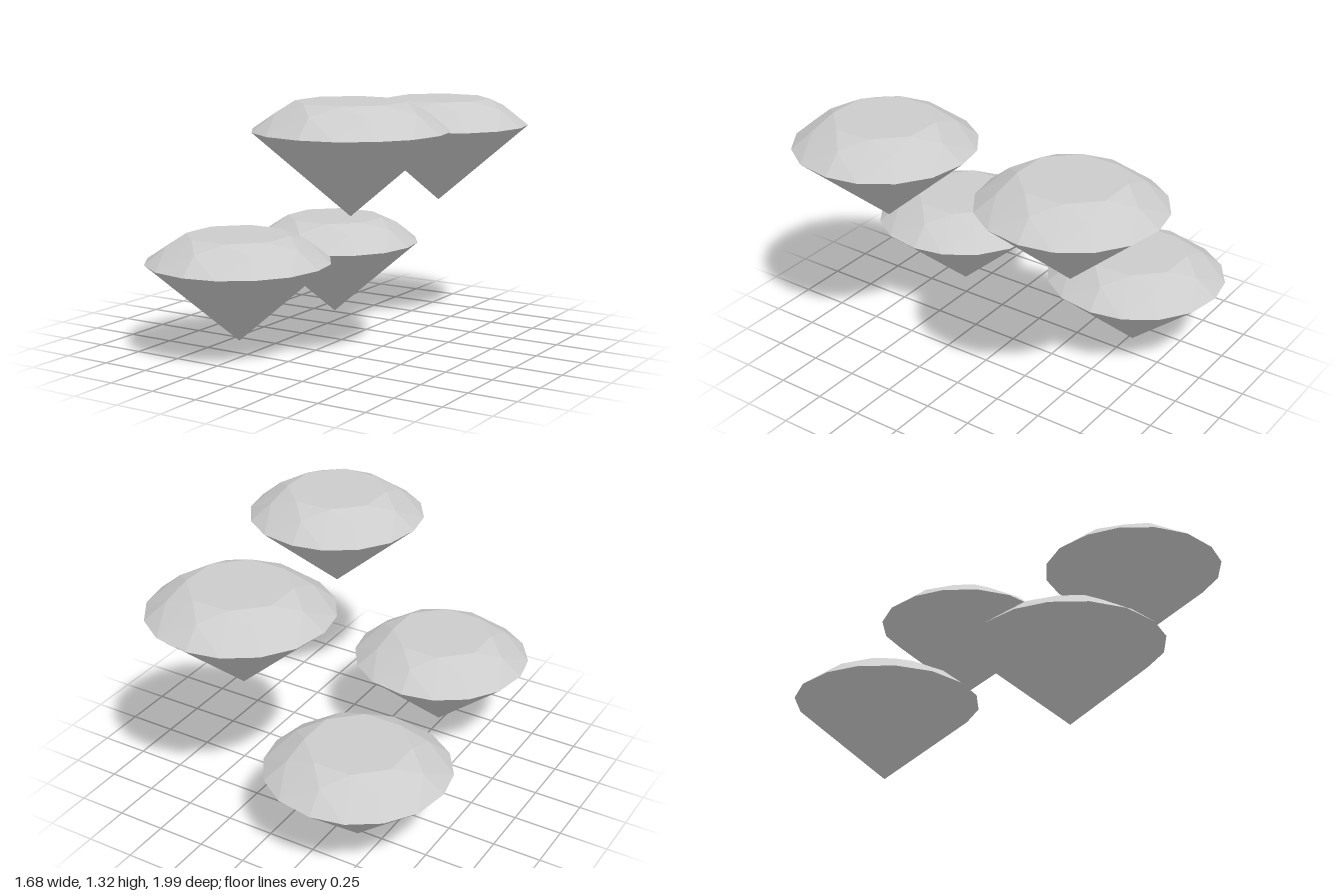
import * as THREE from 'three';

const GIRDLE_Y = 0.41, MID_Y = 0.5, TABLE_Y = 0.546;
const STEP = Math.PI / 8;

// Point on a horizontal ring, angle counted in sixteenths of a turn
const ring = (radius, y, sixteenth) =>
  new THREE.Vector3(radius * Math.cos(sixteenth * STEP), y, radius * Math.sin(sixteenth * STEP));

// Girdle corners on the four axes are turned very slightly
const girdle = i => (i % 4 === 0 ? ring(0.467, GIRDLE_Y, i - 0.07) : ring(0.47, GIRDLE_Y, i));
const middle = k => ring(0.358, MID_Y, 2 * k);
const table = k => ring(0.265, TABLE_Y, 2 * k + 1);

function facets(points) {
  const geometry = new THREE.BufferGeometry().setFromPoints(points);
  geometry.computeVertexNormals();
  return geometry;
}

// Crown: flat table, star triangles, kites and upper girdle triangles
function crownGeometry() {
  const p = [], centre = new THREE.Vector3(0, TABLE_Y, 0);
  for (let k = 0; k < 8; k++) {
    const m = middle(k), t = table(k), g = girdle(2 * k + 1);
    p.push(centre, t, table(k - 1));
    p.push(m, table(k - 1), t);
    p.push(g, m, t, g, t, middle(k + 1));
    p.push(m, g, girdle(2 * k), m, girdle(2 * k), girdle(2 * k - 1));
  }
  return facets(p);
}

// Pavilion: sixteen facets meeting at the lower tip
function pavilionGeometry() {
  const p = [], tip = new THREE.Vector3(0, 0, 0);
  for (let i = 0; i < 16; i++) p.push(tip, girdle(i), girdle(i + 1));
  return facets(p);
}

export function createModel() {
  const model = new THREE.Group();
  model.name = 'gemstones';
  const material = new THREE.MeshStandardMaterial({ color: 0xcccccc, flatShading: true });
  const parts = { crown: crownGeometry(), pavilion: pavilionGeometry() };

  // Four equal stones, each placed by its lower tip
  const places = {
    lowerBackGem: [-0.375, 0, -0.524],
    lowerFrontGem: [-0.28, 0.073, 0.525],
    upperBackGem: [0.28, 0.697, -0.533],
    upperFrontGem: [0.373, 0.77, 0.516],
  };
  for (const [name, position] of Object.entries(places)) {
    const gem = new THREE.Group();
    gem.name = name;
    gem.position.set(...position);
    for (const [part, geometry] of Object.entries(parts)) {
      const mesh = new THREE.Mesh(geometry, material);
      mesh.name = part;
      gem.add(mesh);
    }
    model.add(gem);
  }
  return model;
}
